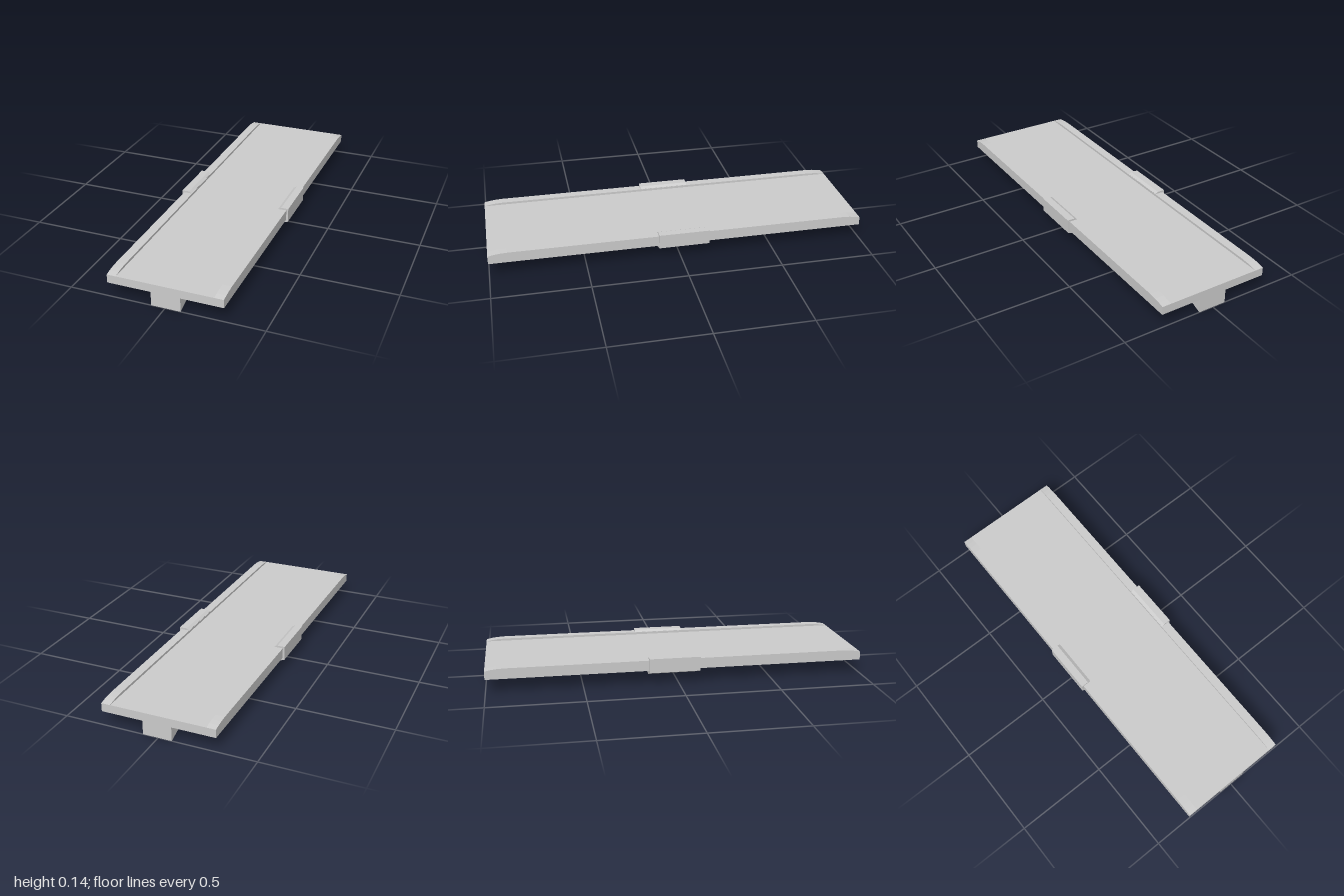
import * as THREE from 'three';

const material = new THREE.MeshStandardMaterial({ color: 0xcccccc, flatShading: true });

function extrude(points, depth) {
  const shape = new THREE.Shape(points.map(([a, b]) => new THREE.Vector2(a, b)));
  return new THREE.ExtrudeGeometry(shape, { depth, bevelEnabled: false });
}

// Side profile given as [z, y], swept from x0 to x1
function sideProfile(points, x0, x1) {
  return extrude(points, x1 - x0).rotateY(-Math.PI / 2).translate(x1, 0, 0);
}

export function createModel() {
  const group = new THREE.Group();
  const add = (name, geometry) => {
    const mesh = new THREE.Mesh(geometry, material);
    mesh.name = name;
    group.add(mesh);
  };

  // Long flat deck
  add('deck', new THREE.BoxGeometry(0.595, 0.044, 2).translate(0, 0.096, 0));

  // Raised edge rails that curve down to the deck at both ends
  const railProfile = [
    [-1, 0.11], [1, 0.11], [1, 0.118], [0.97, 0.124], [0.94, 0.128], [0.9, 0.13],
    [-0.9, 0.13], [-0.94, 0.128], [-0.97, 0.124], [-1, 0.118],
  ];
  add('leftRail', sideProfile(railProfile, 0.25, 0.2975));
  add('rightRail', sideProfile(railProfile, -0.2975, -0.25));

  // Central rib underneath, shallow in the middle and deep at the ends
  add('rib', sideProfile([
    [-1, 0], [-0.9, 0.035], [-0.12, 0.061], [0.12, 0.061], [0.9, 0.035], [1, 0],
    [1, 0.08], [-1, 0.08],
  ], -0.071, 0.08));

  // U-shaped clamp wrapping the underside and both rails
  const half = [
    [0.25, 0.042], [0.308, 0.064], [0.308, 0.14], [0.268, 0.14], [0.252, 0.131],
    [0.252, 0.129], [0.296, 0.129], [0.296, 0.075],
  ];
  const mirrored = half.map(([x, y]) => [-x, y]).reverse();
  add('clamp', extrude([...half, ...mirrored], 0.27).translate(0, 0, -0.155));

  return group;
}
